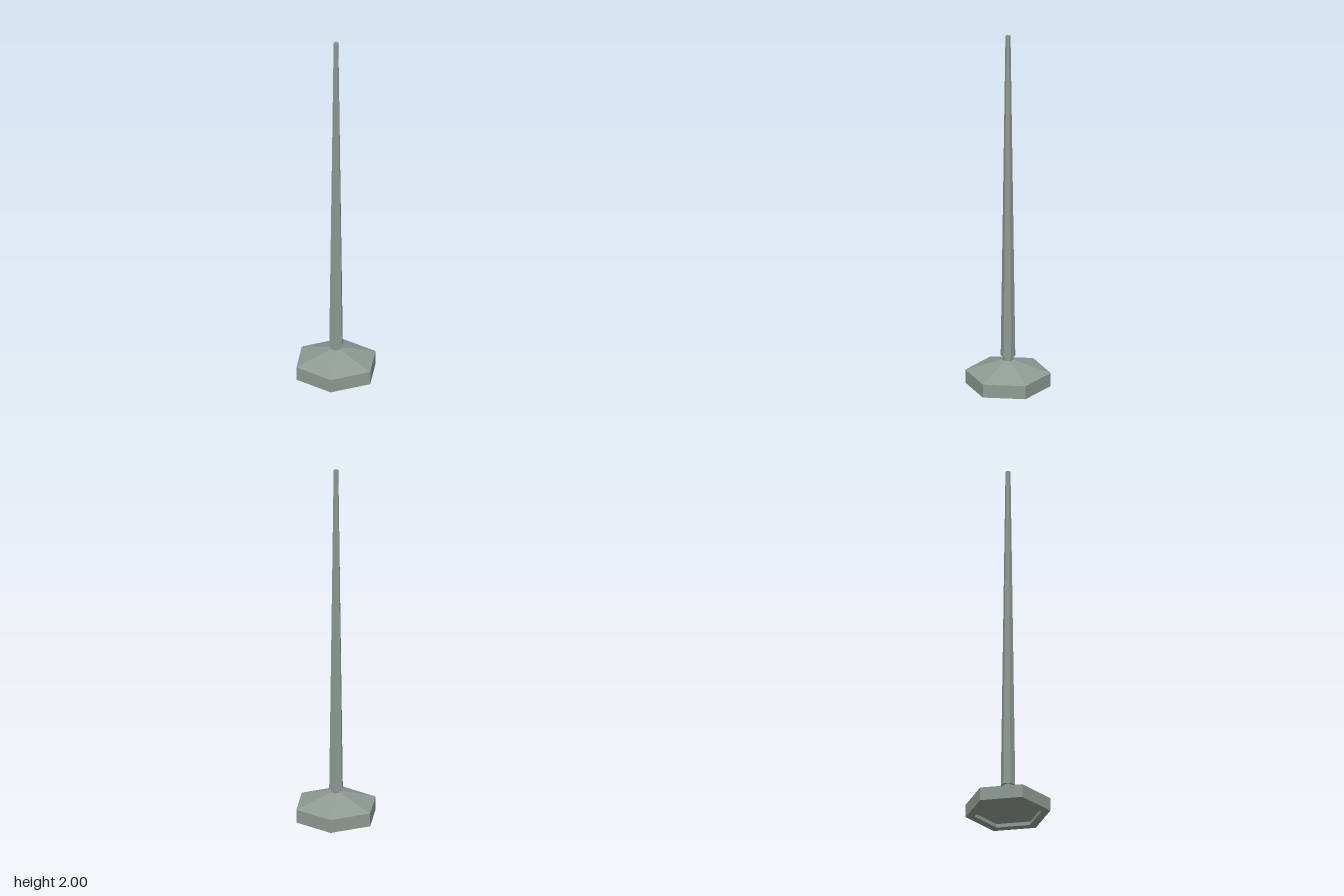
import * as THREE from 'three';

const SIDES = 6;

// Six-sided solid from a profile of [radius, height], listed from bottom axis to top axis
function hexTurned(name, profile, material) {
  const points = profile.map(([r, y]) => new THREE.Vector2(r, y));
  const geometry = new THREE.LatheGeometry(points, SIDES).toNonIndexed();
  geometry.computeVertexNormals(); // one normal per face
  const mesh = new THREE.Mesh(geometry, material);
  mesh.name = name;
  return mesh;
}

export function createModel() {
  const model = new THREE.Group();
  model.name = 'poleOnHexBase';

  const metal = new THREE.MeshStandardMaterial({ color: 0x8f9b93 });
  metal.name = 'grey green metal';

  // Base: shallow boss underneath, recess, rim, outer wall and sloping roof
  model.add(hexTurned('base', [
    [0, 0.005], [0.04, 0.005], [0.12, 0.03], [0.178, 0.052],
    [0.178, 0.032], [0.224, 0.032], [0.224, 0.105],
    [0.028, 0.172], [0, 0.172],
  ], metal));

  // Small point below the boss
  model.add(hexTurned('foot', [[0, 0], [0.04, 0.005], [0, 0.0055]], metal));

  // Neck between the base and the pole
  model.add(hexTurned('neck', [[0, 0.165], [0.028, 0.165], [0.028, 0.205], [0, 0.205]], metal));

  // Tall tapering pole
  model.add(hexTurned('pole', [[0, 0.195], [0.0385, 0.195], [0.0135, 2], [0, 2]], metal));

  return model;
}
